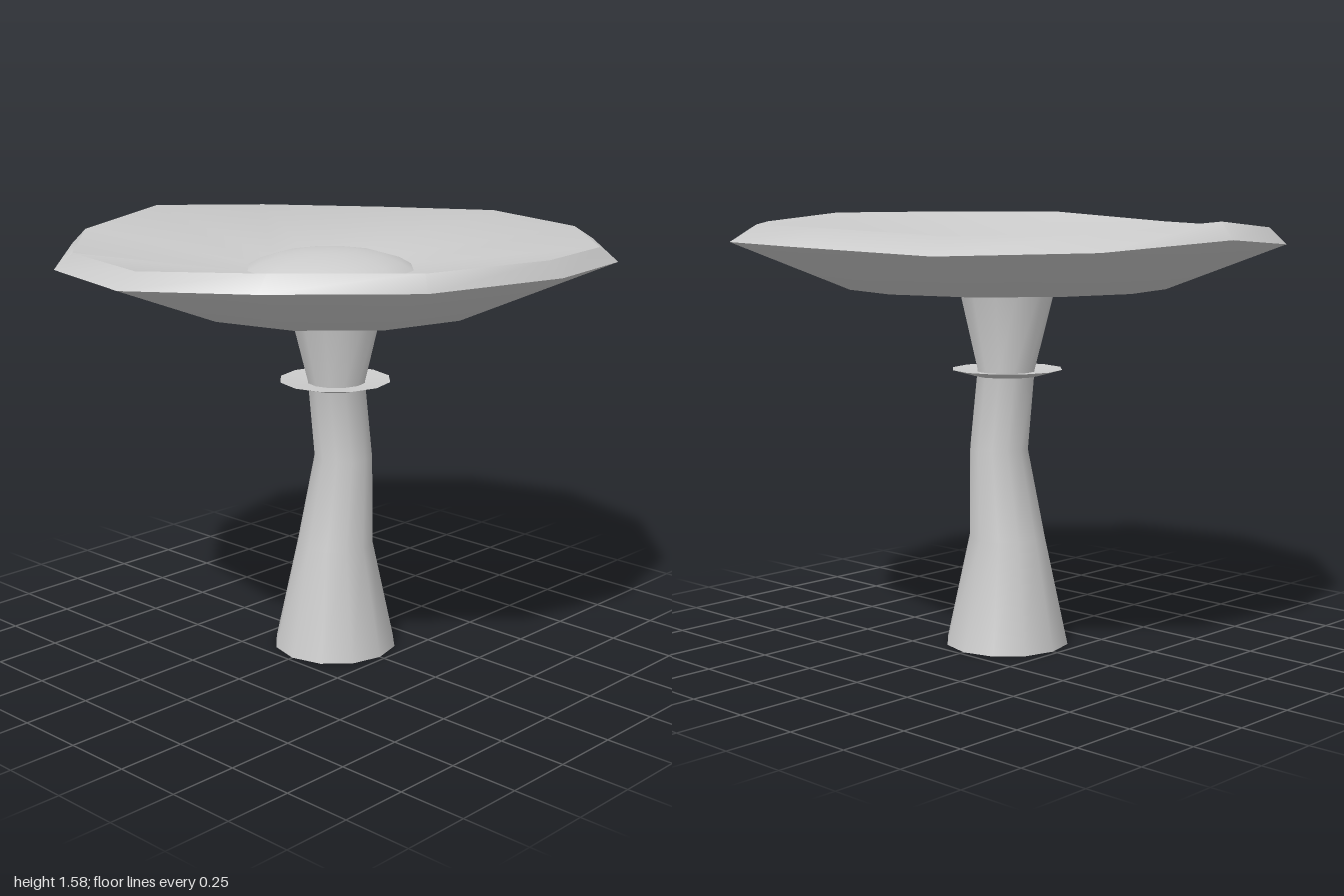
import * as THREE from 'three';
import { toCreasedNormals } from 'three/addons/utils/BufferGeometryUtils.js';

const SIDES = 12;

// Ring of points: centre (cx, cz), radii (rx, rz), y a number or a list per corner
function ring(rx, y, cx = 0, cz = 0, rz = rx) {
  return Array.from({ length: SIDES }, (_, i) => {
    const a = (i / SIDES) * Math.PI * 2;
    return [cx + rx * Math.cos(a), Array.isArray(y) ? y[i] : y, cz + rz * Math.sin(a)];
  });
}

// Skin through successive rings; a ring of radius 0 closes the end
function loft(name, rings, { closed = false, crease = 0.87 } = {}) {
  const pos = [];
  const isPole = (r) => Math.hypot(r[0][0] - r[3][0], r[0][2] - r[3][2]) < 1e-6;
  const last = closed ? rings.length : rings.length - 1;
  for (let j = 0; j < last; j++) {
    const lo = rings[j], hi = rings[(j + 1) % rings.length];
    for (let i = 0; i < SIDES; i++) {
      const n = (i + 1) % SIDES;
      if (!isPole(lo)) pos.push(...lo[i], ...hi[i], ...lo[n]);
      if (!isPole(hi)) pos.push(...lo[n], ...hi[i], ...hi[n]);
    }
  }
  const geo = new THREE.BufferGeometry();
  geo.setAttribute('position', new THREE.Float32BufferAttribute(pos, 3));
  const mesh = new THREE.Mesh(
    toCreasedNormals(geo, crease),
    new THREE.MeshStandardMaterial({ color: 0xcccccc, side: THREE.DoubleSide })
  );
  mesh.name = name;
  return mesh;
}

export function createModel() {
  const group = new THREE.Group();
  group.name = 'mushroom';

  // Bent stem, flaring at the foot and under the cap
  group.add(loft('stem', [
    ring(0, 0),
    ring(0.23, 0),
    ring(0.143, 0.4),
    ring(0.109, 0.73, 0.028, 0.015),
    ring(0.107, 1.02, 0.002, 0.004),
    ring(0.205, 1.425),
  ]));

  // Thin collar around the stem
  group.add(loft('collar', [
    ring(0.09, 1.0),
    ring(0.12, 0.998),
    ring(0.205, 1.022),
    ring(0.09, 1.012),
  ], { closed: true, crease: 0.6 }));

  // Dished cap with a wavy, bevelled rim
  const rimY = [1.55, 1.55, 1.55, 1.575, 1.575, 1.575, 1.54, 1.53, 1.54, 1.57, 1.54, 1.53];
  group.add(loft('cap', [
    ring(0, 1.415),
    ring(0.31, 1.415),
    ring(0.58, 1.32),
    ring(1, rimY.map((y) => y - 0.058)),
    ring(0.907, rimY, -0.033, 0.02, 0.95),
    ring(0.3, 1.43, 0, -0.02),
    ring(0, 1.425, 0, -0.02),
  ]));

  // Low dome in the middle of the dish
  const dome = [[0.315, 1.425], [0.26, 1.456], [0.19, 1.477], [0.1, 1.492], [0, 1.497]];
  group.add(loft('centreDome', dome.map(([r, y]) => ring(r, y, -0.005, -0.02))));

  return group;
}
